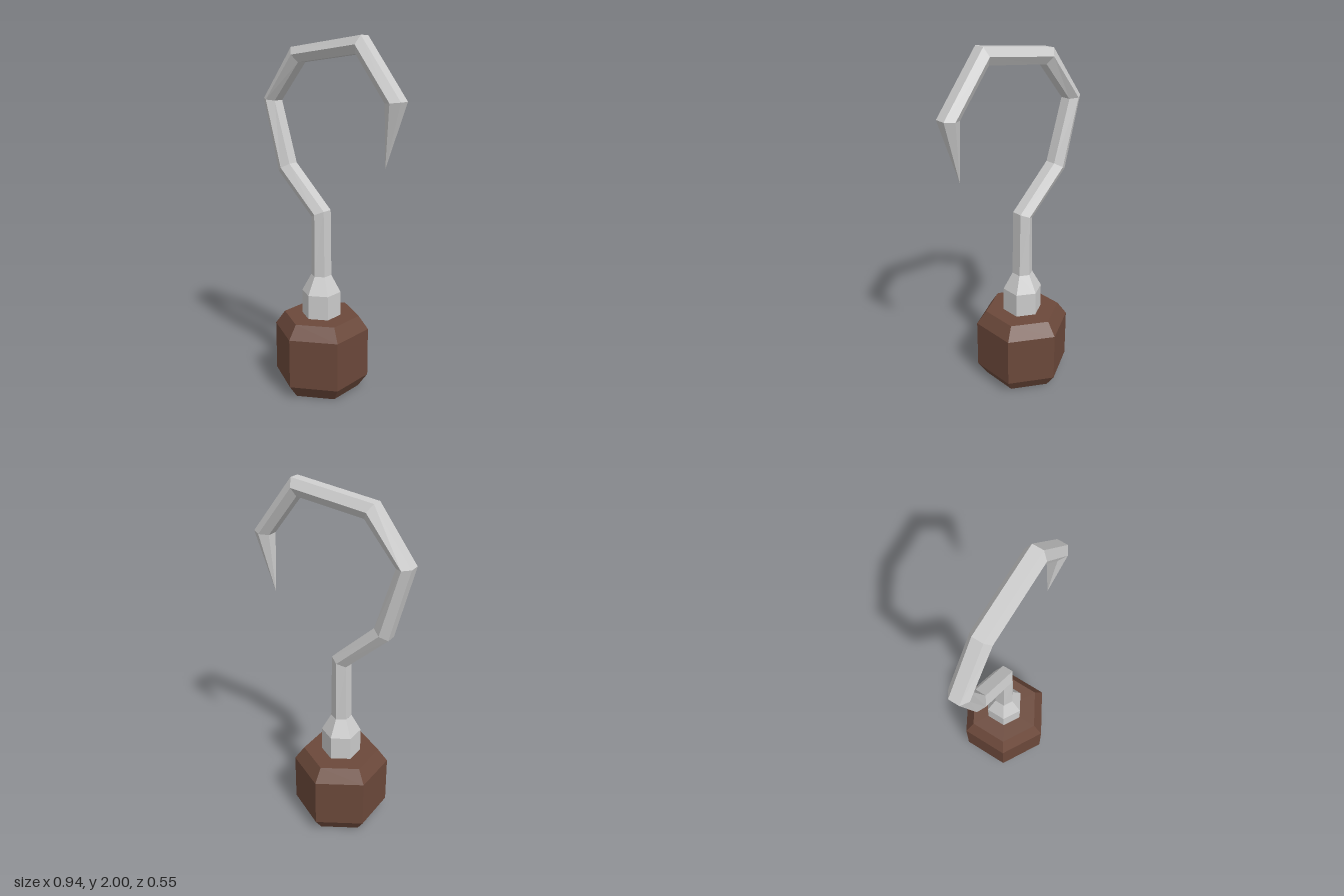
import * as THREE from 'three';

const AXIS_X = -0.07;
const wood = new THREE.MeshStandardMaterial({ color: 0x6b483a, flatShading: true });
const metal = new THREE.MeshStandardMaterial({ color: 0xcccccc, flatShading: true });

// Six-sided turned part from [radius, y] pairs, bottom to top
function turned(name, profile, material) {
  const points = profile.map(([r, y]) => new THREE.Vector2(r, y));
  const mesh = new THREE.Mesh(new THREE.LatheGeometry(points, 6), material);
  mesh.name = name;
  mesh.position.x = AXIS_X;
  return mesh;
}

// Hexagonal bar lofted through [outerX, outerY, innerX, innerY] stations, ending in a point
function hookGeometry(stations, tip) {
  const flat = 0.03, ridge = 0.058;
  const rings = stations.map(([ax, ay, bx, by]) => {
    const mx = (ax + bx) / 2, my = (ay + by) / 2;
    return [
      [ax, ay, flat], [mx, my, ridge], [bx, by, flat],
      [bx, by, -flat], [mx, my, -ridge], [ax, ay, -flat],
    ];
  });
  const positions = [];
  const triangle = (...corners) => corners.forEach((c) => positions.push(...c));
  rings.forEach((ring, k) => {
    const next = rings[k + 1];
    for (let i = 0; i < 6; i++) {
      const j = (i + 1) % 6;
      if (next) {
        triangle(ring[i], ring[j], next[j]);
        triangle(ring[i], next[j], next[i]);
      } else {
        triangle(ring[i], ring[j], tip);
      }
    }
  });
  const geometry = new THREE.BufferGeometry();
  geometry.setAttribute('position', new THREE.Float32BufferAttribute(positions, 3));
  geometry.computeVertexNormals();
  return geometry;
}

export function createModel() {
  const model = new THREE.Group();
  model.name = 'hook';

  // Chamfered wooden grip
  model.add(turned('handle', [
    [0, 0], [0.218, 0], [0.273, 0.077], [0.273, 0.363], [0.218, 0.44], [0, 0.44],
  ], wood));

  // Metal collar tapering into the shaft
  model.add(turned('collar', [[0.112, 0.43], [0.112, 0.58], [0.058, 0.68]], metal));

  // Shaft, bend and pointed end
  const hook = new THREE.Mesh(hookGeometry([
    [-0.12, 0.68, -0.02, 0.68],
    [-0.115, 1.02, -0.025, 1.06],
    [-0.365, 1.25, -0.28, 1.3],
    [-0.473, 1.657, -0.387, 1.647],
    [-0.257, 1.94, -0.205, 1.86],
    [0.22, 2.0, 0.187, 1.908],
    [0.47, 1.683, 0.373, 1.673],
  ], [0.363, 1.34, 0]), metal);
  hook.name = 'hookBar';
  model.add(hook);

  return model;
}
